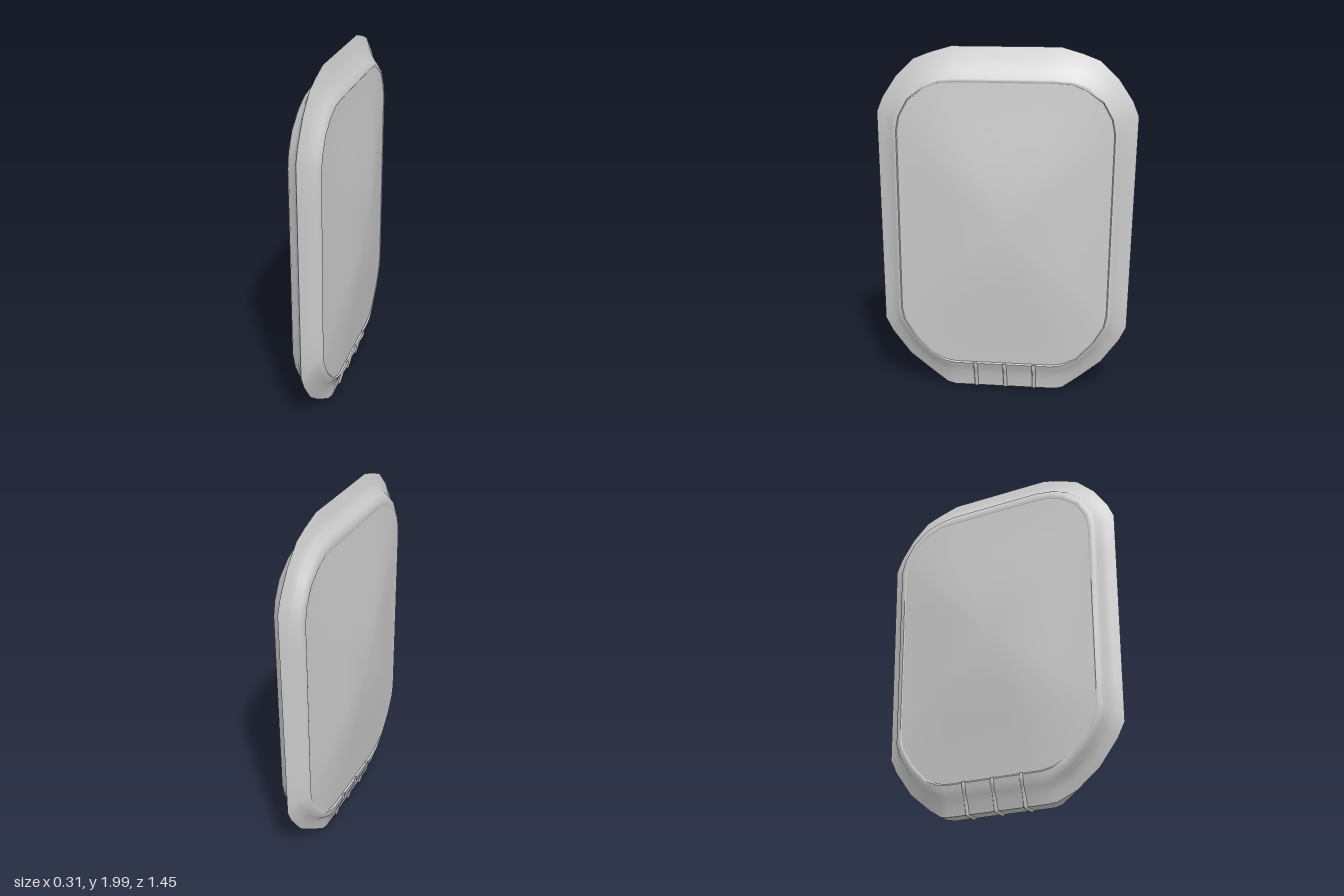
import * as THREE from 'three';
import { toCreasedNormals } from 'three/addons/utils/BufferGeometryUtils.js';

const material = new THREE.MeshStandardMaterial({ color: 0xcccccc, side: THREE.DoubleSide });

// Corner points as [z, y]: upper corner, then lower corner, on the +z half
const outerHalf = [[0.3, 1.995], [0.42, 1.96], [0.51, 1.925], [0.61, 1.83], [0.69, 1.71], [0.723, 1.63],
  [0.715, 0.4], [0.675, 0.32], [0.57, 0.18], [0.44, 0.075], [0.345, 0.02], [0.3, 0.012]];
const panelHalf = [[0.26, 1.81], [0.36, 1.805], [0.44, 1.775], [0.53, 1.71], [0.58, 1.62], [0.595, 1.54],
  [0.595, 0.5], [0.58, 0.43], [0.52, 0.33], [0.42, 0.225], [0.34, 0.19], [0.28, 0.18]];

// Closed outline from a half: mirrored, with the long straight runs subdivided
function outline(half) {
  const mirrored = [...half].reverse().map(([z, y]) => [-z * (y < 0.9 ? 0.975 : 1), y]);
  const points = [...half, ...mirrored];
  const out = [];
  points.forEach((p, i) => {
    const q = points[(i + 1) % points.length];
    const n = i % 6 === 5 ? 6 : 1;
    for (let k = 0; k < n; k++) {
      out.push([p[0] + (q[0] - p[0]) * k / n, p[1] + (q[1] - p[1]) * k / n]);
    }
  });
  return out;
}
const outer = outline(outerHalf);
const panel = outline(panelHalf);

// Skins a list of rings, leaving out collapsed triangles
function loft(rings, crease) {
  const positions = [];
  const tri = new THREE.Triangle();
  const add = (a, b, c) => {
    if (tri.set(a, b, c).getArea() > 1e-8) positions.push(...a.toArray(), ...b.toArray(), ...c.toArray());
  };
  for (let r = 0; r < rings.length - 1; r++) {
    const A = rings[r], B = rings[r + 1];
    A.forEach((a, i) => {
      const j = (i + 1) % A.length;
      add(a, A[j], B[j]);
      add(a, B[j], B[i]);
    });
  }
  const geometry = new THREE.BufferGeometry();
  geometry.setAttribute('position', new THREE.Float32BufferAttribute(positions, 3));
  return toCreasedNormals(geometry, crease);
}

// Rim ring between outline (s = 0) and panel (s = 1); the bottom edge is blunt
function rimRing(s, x, blunt) {
  return outer.map(([z, y], i) => {
    const [pz, py] = panel[i];
    const w = y > 0.3 ? 0 : THREE.MathUtils.clamp((0.42 - Math.abs(z)) / 0.1, 0, 1);
    return new THREE.Vector3(x + (blunt - x) * w, y + (py - y) * s, z + (pz - z) * s);
  });
}

// Domed panel rings, from edge to centre
function panelRings(side) {
  const rings = [];
  for (let k = 0; k <= 14; k++) {
    const t = 1 - k / 14;
    const c = Math.cos(t * Math.PI / 2);
    const x = 0.084 + 0.071 * (0.5 * (1 - t * t) + 0.5 * c * c);
    rings.push(panel.map(([z, y]) => new THREE.Vector3(side * x, 1 + (y - 1) * t, z * t)));
  }
  return side > 0 ? rings : rings.reverse();
}

export function createModel() {
  const group = new THREE.Group();
  const add = (name, geometry) => {
    const mesh = new THREE.Mesh(geometry, material);
    mesh.name = name;
    group.add(mesh);
  };

  // Tapered rim as [s, x, x at the blunt bottom], one profile for each face
  const leftProfile = [[0, 0, 0.04], [0.3, 0.02, 0.05], [0.55, 0.04, 0.062], [0.75, 0.064, 0.075],
    [0.9, 0.086, 0.09], [0.96, 0.088, 0.094], [1, 0.084, 0.084]];
  const rightProfile = [[0, 0, 0.04], [0.3, 0.02, 0.055], [0.55, 0.04, 0.072], [0.66, 0.068, 0.082],
    [0.8, 0.08, 0.088], [0.95, 0.087, 0.094], [1, 0.084, 0.084]];
  add('rim', loft([
    ...rightProfile.reverse().map(([s, x, b]) => rimRing(s, -x, -b)),
    ...leftProfile.map(([s, x, b]) => rimRing(s, x, b)),
  ], 0.8));

  // Bulging faces
  add('leftPanel', loft(panelRings(1), 0.8));
  add('rightPanel', loft(panelRings(-1), 0.8));

  // Thin seams wrapped around the blunt bottom edge
  for (const z of [-0.17, 0, 0.17]) {
    const path = new THREE.CurvePath();
    const points = [[0.09, 0.18], [0.088, 0.15], [0.062, 0.1], [0.04, 0.012]];
    const loop = [...points, ...[...points].reverse().map(([x, y]) => [-x, y])]
      .map(([x, y]) => new THREE.Vector3(x, y, z));
    for (let i = 0; i < loop.length - 1; i++) path.add(new THREE.LineCurve3(loop[i], loop[i + 1]));
    add('bottomSeam', new THREE.TubeGeometry(path, 40, 0.011, 8, false));
  }
  return group;
}
